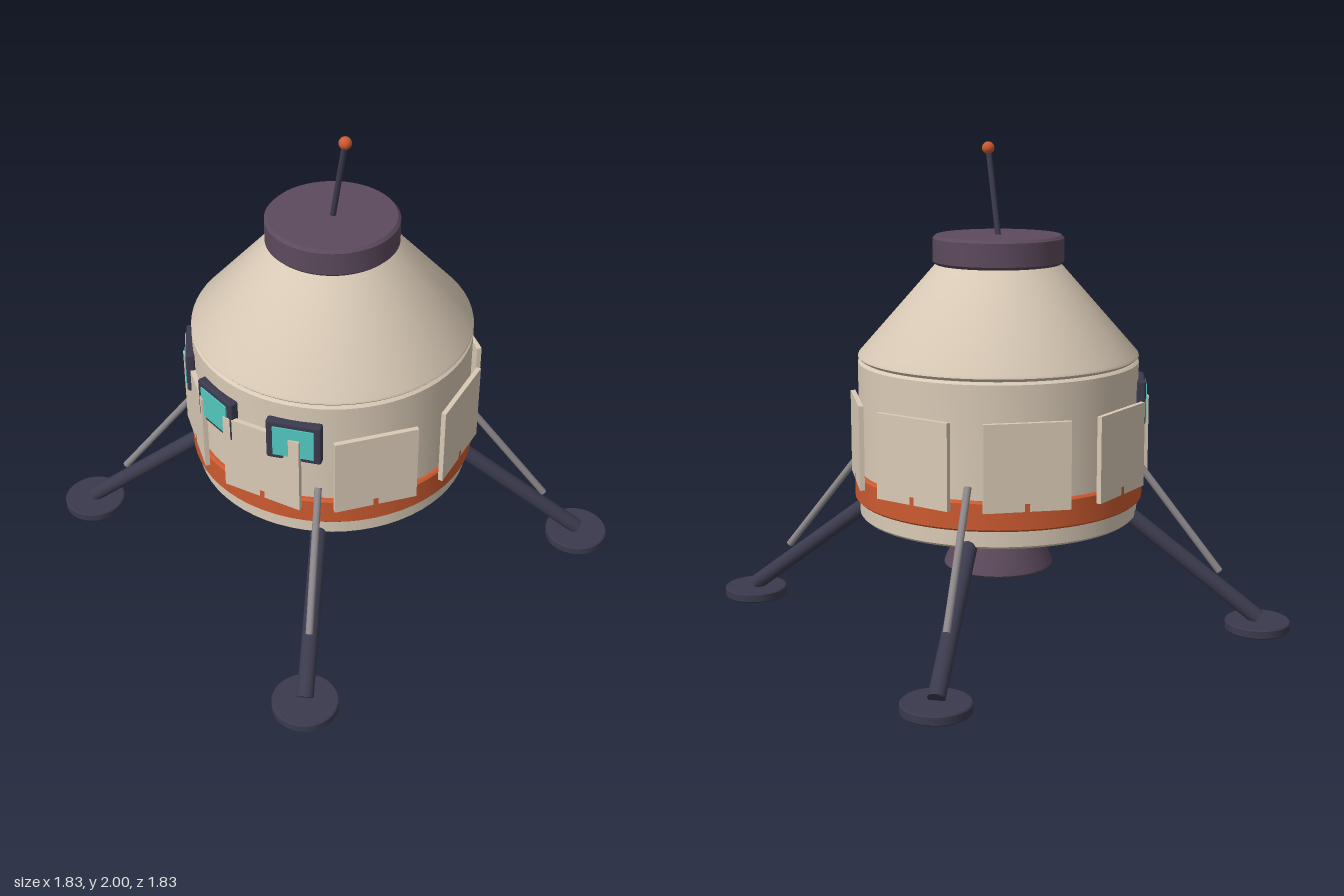
import * as THREE from 'three';
import { toCreasedNormals } from 'three/addons/utils/BufferGeometryUtils.js';
import { RoundedBoxGeometry } from 'three/addons/geometries/RoundedBoxGeometry.js';

const paint = (name, color) => {
  const m = new THREE.MeshStandardMaterial({ color });
  m.name = name;
  return m;
};

export function createModel() {
  const cream = paint('cream hull', 0xd9cab6);
  const orange = paint('orange trim', 0xcc5a30);
  const plum = paint('plum metal', 0x5c4a5c);
  const navy = paint('dark navy', 0x3a3a4d);
  const teal = paint('teal glass', 0x52c8bf);
  const grey = paint('grey strut', 0x8b8689);

  const model = new THREE.Group();
  model.name = 'landerCapsule';

  const add = (name, geometry, material, parent = model) => {
    const mesh = new THREE.Mesh(geometry, material);
    mesh.name = name;
    parent.add(mesh);
    return mesh;
  };
  // Turned part from [radius, height] pairs, listed bottom to top
  const turned = (name, points, material) => {
    const profile = points.map(([r, y]) => new THREE.Vector2(r, y));
    return add(name, toCreasedNormals(new THREE.LatheGeometry(profile, 64), 0.5), material);
  };
  // Round rod between two points
  const rod = (name, from, to, radius, material, parent = model) => {
    const a = new THREE.Vector3(...from), b = new THREE.Vector3(...to);
    const mesh = add(name, new THREE.CylinderGeometry(radius, radius, a.distanceTo(b), 20), material, parent);
    mesh.position.copy(a).add(b).multiplyScalar(0.5);
    mesh.quaternion.setFromUnitVectors(new THREE.Vector3(0, 1, 0), b.sub(a).normalize());
    return mesh;
  };

  // Hull: drum, conical roof, trim band and hatch cap
  turned('hullDrum', [[0, 0.455], [0.575, 0.455], [0.585, 0.465], [0.585, 1.105], [0.575, 1.115], [0, 1.115]], cream);
  turned('coneRoof', [[0.57, 1.115], [0.578, 1.12], [0.585, 1.128], [0.582, 1.138], [0.255, 1.51], [0, 1.51]], cream);
  turned('trimBand', [[0.58, 0.53], [0.597, 0.53], [0.605, 0.538], [0.605, 0.642], [0.597, 0.65], [0.58, 0.65]], orange);
  turned('hatchCap', [[0, 1.505], [0.26, 1.505], [0.272, 1.517], [0.272, 1.612], [0.26, 1.624], [0, 1.624]], plum);

  // Antenna
  rod('antennaMast', [0, 1.61, 0], [0.075, 1.972, 0], 0.012, navy);
  add('antennaTip', new THREE.SphereGeometry(0.026, 24, 16), orange).position.set(0.076, 1.974, 0);

  // Engine bell with a dark throat ring underneath
  turned('engineBell', [[0, 0.22], [0.222, 0.22], [0.231, 0.228], [0.228, 0.24], [0.128, 0.46]], plum);
  const ring = add('throatRing', new THREE.TorusGeometry(0.132, 0.015, 12, 48), navy);
  ring.rotation.x = Math.PI / 2;
  ring.position.y = 0.22;

  // Eight flat panels around the drum
  for (let i = 0; i < 8; i++) {
    const mount = new THREE.Group();
    mount.name = 'panelMount';
    mount.rotation.y = (i + 0.5) * Math.PI / 4;
    model.add(mount);
    add('hullPanel', new THREE.BoxGeometry(0.346, 0.35, 0.02), cream, mount).position.set(0, 0.785, 0.5945);
  }

  // Three framed windows across the front
  for (const angle of [-0.63, 0, 0.63]) {
    const mount = new THREE.Group();
    mount.name = 'window';
    mount.rotation.y = angle;
    model.add(mount);
    add('windowFrame', new RoundedBoxGeometry(0.225, 0.185, 0.04, 2, 0.01), navy, mount).position.set(0, 0.943, 0.592);
    add('windowGlass', new THREE.BoxGeometry(0.168, 0.138, 0.008), teal, mount).position.set(0, 0.943, 0.613);
  }

  // Four diagonal landing legs with braces and foot pads
  for (const sx of [-1, 1]) for (const sz of [-1, 1]) {
    const leg = new THREE.Group();
    leg.name = 'landingLeg';
    model.add(leg);
    const diagonal = (d, y) => [sx * d, y, sz * d];
    rod('legTube', diagonal(0.385, 0.475), diagonal(0.78, 0.05), 0.034, navy, leg);
    rod('legBrace', diagonal(0.412, 0.70), diagonal(0.665, 0.24), 0.015, grey, leg);
    const pad = add('footPad', toCreasedNormals(new THREE.LatheGeometry(
      [[0, 0], [0.13, 0], [0.135, 0.005], [0.135, 0.035], [0.13, 0.04], [0, 0.04]]
        .map(([r, y]) => new THREE.Vector2(r, y)), 40), 0.5), navy, leg);
    pad.position.set(sx * 0.78, 0, sz * 0.78);
  }
  return model;
}
